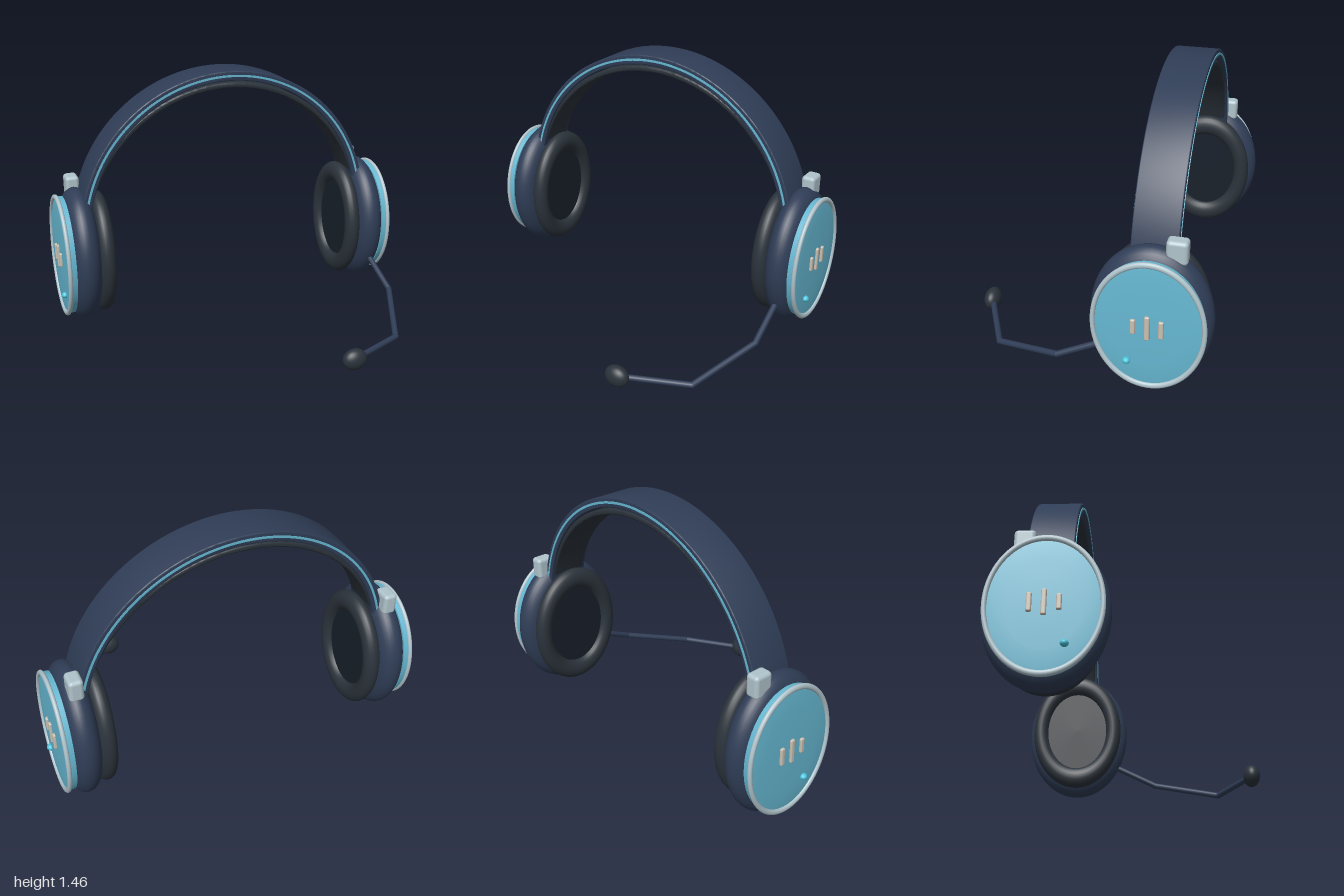
import * as THREE from 'three';
import { toCreasedNormals } from 'three/addons/utils/BufferGeometryUtils.js';
import { RoundedBoxGeometry } from 'three/addons/geometries/RoundedBoxGeometry.js';

const NAVY = 0x2f3d56, DARK = 0x2b333b, PAD = 0x18202a, CYAN = 0x66b8d2, SILVER = 0xb0c4cc, BEIGE = 0xc9c0b2;
const CY = 0.465, CZ = -0.38; // centre of the ear cups
const OVAL = 1.28;            // cups are taller than deep

function add(parent, name, geometry, color, x = 0, y = 0, z = 0) {
  const mesh = new THREE.Mesh(geometry, new THREE.MeshStandardMaterial({ color }));
  mesh.name = name;
  mesh.position.set(x, y, z);
  parent.add(mesh);
  return mesh;
}

// Oval solid turned about the x axis; profile is [radius, x] from inside to outside
function ovalLathe(profile, side, oval = OVAL) {
  const g = new THREE.LatheGeometry(profile.map(([r, h]) => new THREE.Vector2(r, h)), 64);
  return toCreasedNormals(g.rotateZ(-side * Math.PI / 2).scale(1, oval, 1), 0.7);
}

function ovalRing(radius, tube, oval = OVAL) {
  return new THREE.TorusGeometry(radius, tube, 20, 72).rotateY(Math.PI / 2).scale(1, oval, 1);
}

// Arched strip centred on z = 0
function archStrip(inner, outer, width, startAngle, bevel) {
  const s = new THREE.Shape();
  s.absarc(0, 0, outer - bevel, startAngle, Math.PI - startAngle, false);
  s.absarc(0, 0, inner + bevel, Math.PI - startAngle, startAngle, true);
  const g = new THREE.ExtrudeGeometry(s, {
    depth: width - 2 * bevel, curveSegments: 72, bevelEnabled: bevel > 0,
    bevelSize: bevel, bevelThickness: bevel, bevelSegments: 3,
  });
  return toCreasedNormals(g.translate(0, 0, -width / 2 + bevel), 0.6);
}

function earCup(side) {
  const cup = new THREE.Group();
  cup.name = side > 0 ? 'leftEarCup' : 'rightEarCup';
  cup.position.set(0, CY, CZ);

  // Shell with a rounded rim
  const shell = [[0, -0.08]];
  for (let i = 0; i <= 16; i++) {
    const a = -Math.PI / 2 + (i / 16) * Math.PI;
    shell.push([0.2 + 0.1 * Math.cos(a), 0.08 * Math.sin(a)]);
  }
  shell.push([0, 0.08]);
  add(cup, 'cupShell', ovalLathe(shell, side), NAVY, side * 0.866);

  // Ear cushion with a fabric centre
  add(cup, 'earCushion', ovalRing(0.222, 0.045, 1.33), DARK, side * 0.752);
  add(cup, 'earPadCentre', ovalLathe([[0, -0.02], [0.22, -0.02], [0.22, 0.02], [0, 0.02]], side, 1.33), PAD, side * 0.762);

  // Slightly domed outer plate and its trim
  const plate = [[0, -0.035], [0.268, -0.035], [0.27, 0], [0.25, 0.004], [0.18, 0.008], [0.09, 0.011], [0, 0.012]];
  add(cup, 'outerPlate', ovalLathe(plate, side, 1.265), CYAN, side * 0.968);
  add(cup, 'plateTrim', ovalRing(0.267, 0.012, 1.265), SILVER, side * 0.971);

  // Three raised bars and an indicator light
  [[-0.31, 0.08], [-0.378, 0.13], [-0.445, 0.095]].forEach(([z, h]) =>
    add(cup, 'plateBar', new RoundedBoxGeometry(0.026, h, 0.025, 3, 0.007), BEIGE, side * 0.979, 0.002, z - CZ));
  add(cup, 'indicatorLight', new THREE.SphereGeometry(0.02, 20, 14).scale(1, 0.85, 1), 0x4cc4dc, side * 0.98, 0.265 - CY, -0.28 - CZ);

  // Hinge block behind the band
  add(cup, 'hingeBlock', new RoundedBoxGeometry(0.075, 0.122, 0.104, 4, 0.02), SILVER, side * 0.866, 0.835 - CY, -0.493 - CZ);
  return cup;
}

function headband() {
  const band = new THREE.Group();
  band.name = 'headband';
  band.position.set(0, 0.589, -0.378);
  add(band, 'bandShell', archStrip(0.816, 0.871, 0.228, 0.22, 0.006), NAVY);
  add(band, 'bandStripe', archStrip(0.838, 0.85, 0.234, 0.23, 0), CYAN);
  add(band, 'bandPadding', archStrip(0.83, 0.861, 0.2, 0.34, 0.01), DARK, 0, -0.057, 0);
  return band;
}

function microphone() {
  const mic = new THREE.Group();
  mic.name = 'microphone';
  const r = 0.0165;
  const path = [[0.868, 0.285, -0.18], [0.878, 0.152, 0.1], [0.716, 0.045, 0.47], [0.37, 0.062, 0.64]]
    .map(p => new THREE.Vector3(...p));
  // Straight boom sections with rounded joints
  for (let i = 0; i < path.length - 1; i++) {
    const d = path[i + 1].clone().sub(path[i]);
    const mid = path[i].clone().addScaledVector(d, 0.5);
    const rod = add(mic, 'boomSection', new THREE.CylinderGeometry(r, r, d.length(), 16), NAVY, mid.x, mid.y, mid.z);
    rod.quaternion.setFromUnitVectors(new THREE.Vector3(0, 1, 0), d.normalize());
    if (i > 0) add(mic, 'boomJoint', new THREE.SphereGeometry(r, 16, 12), NAVY, ...path[i].toArray());
  }
  add(mic, 'micTip', new THREE.SphereGeometry(1, 32, 20).scale(0.069, 0.06, 0.046), DARK, 0.37, 0.061, 0.637);
  return mic;
}

export function createModel() {
  const model = new THREE.Group();
  model.name = 'headset';
  model.add(earCup(1), earCup(-1), headband(), microphone());
  return model;
}
